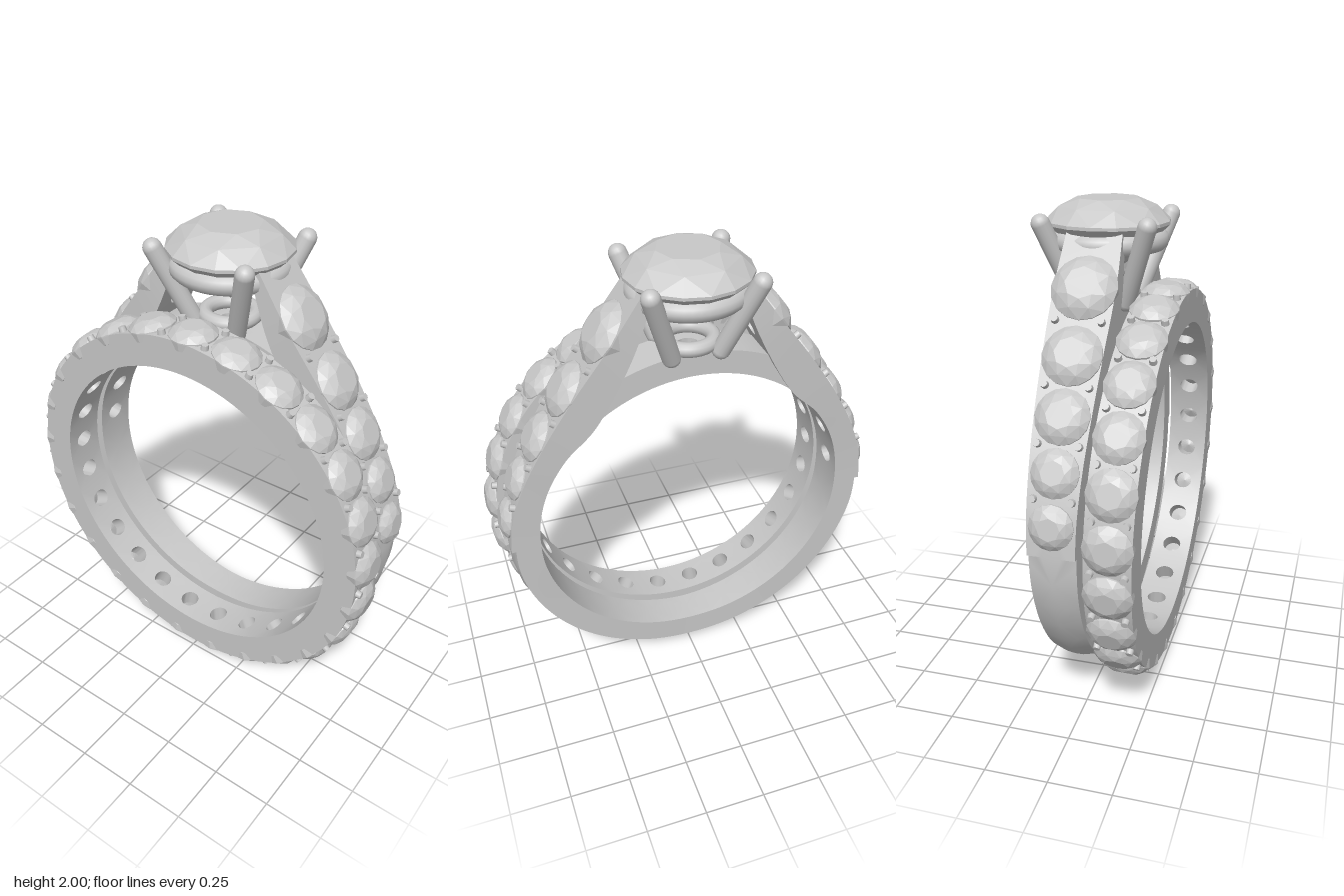
import * as THREE from 'three';
import { mergeGeometries, toCreasedNormals } from 'three/addons/utils/BufferGeometryUtils.js';
import { ConvexGeometry } from 'three/addons/geometries/ConvexGeometry.js';

const V = (x, y, z) => new THREE.Vector3(x, y, z);
const metal = new THREE.MeshStandardMaterial({ color: 0xc8c8c8 });
metal.name = 'pale silver';
const CY = 0.84, HEAD_Z = -0.042;

function add(parent, name, geo) {
  const m = new THREE.Mesh(geo, metal);
  m.name = name;
  parent.add(m);
  return m;
}

// One block of a band from u0 to u1 with an optional round hole through it.
// at(u, v, t): u runs along the band, v (-1..1) across it, t (0..1) from inside to outside.
function panel(at, u0, u1, hole, bulge = 0) {
  const N = 32, pos = [], idx = [];
  const half = at(u0, 0, 0.5).distanceTo(at(u1, 0, 0.5)) / 2;
  const uc = (u0 + u1) / 2, hw = at(uc, 1, 0.5).distanceTo(at(uc, -1, 0.5)) / 2;
  const put = (a, b, t) => pos.push(...at(uc + a * (u1 - u0) / 2, b, t ? 1 - bulge * b * b : 0).toArray());
  for (let i = 0; i < N; i++) {
    const a = (i / N) * Math.PI * 2, c = Math.cos(a), s = Math.sin(a);
    const k = 1 / Math.max(Math.abs(c), Math.abs(s));
    const hx = c * hole / half, hy = s * hole / hw;
    put(hx, hy, 0); put(c * k, s * k, 0); put(c * k, s * k, 1); put(hx, hy, 1);
    for (let j = 0; j < 4; j++) {
      const p = i * 4 + j, q = ((i + 1) % N) * 4 + j;
      const p1 = i * 4 + (j + 1) % 4, q1 = ((i + 1) % N) * 4 + (j + 1) % 4;
      idx.push(p, q, q1, p, q1, p1);
    }
  }
  const g = new THREE.BufferGeometry();
  g.setAttribute('position', new THREE.Float32BufferAttribute(pos, 3));
  g.setIndex(idx);
  return g;
}
const band = panels => toCreasedNormals(mergeGeometries(panels), 0.6);

// Faceted round stone, girdle at y = 0, crown upward
function stoneGeometry(R, belly, culet) {
  const pts = [V(0, culet * R, 0)];
  const ring = (n, r, y, off) => {
    for (let i = 0; i < n; i++) {
      const a = ((i + off) / n) * Math.PI * 2;
      pts.push(V(Math.cos(a) * r * R, y * R, Math.sin(a) * r * R));
    }
  };
  ring(8, 0.5, 0.36, 0);
  ring(8, 0.78, 0.235, 0.5);
  ring(16, 1, 0.02, 0);
  ring(16, 1, -0.03, 0);
  ring(16, belly[0], belly[1], 0);
  return new ConvexGeometry(pts);
}

// Outward direction of the band surface
function outward(at, u, e) {
  const d = at(u + e, 0, 1).sub(at(u - e, 0, 1));
  return V(d.y, -d.x, 0).normalize();
}
function setOn(mesh, at, u, v, e, lift = 0) {
  const n = outward(at, u, e);
  mesh.quaternion.setFromUnitVectors(V(0, 1, 0), n);
  mesh.position.copy(at(u, v, 1)).addScaledVector(n, lift);
}

export function createModel() {
  const root = new THREE.Group();
  root.name = 'ringSet';

  // Front band, set with stones all the way round, leaning slightly forward
  const front = new THREE.Group();
  front.name = 'eternityBand';
  front.position.set(0, CY, 0.177);
  front.rotation.x = 0.024;
  root.add(front);
  const COUNT = 25, step = Math.PI * 2 / COUNT;
  const round = (u, v, t) => {
    const r = 0.665 + 0.137 * t;
    return V(r * Math.cos(u), r * Math.sin(u), v * 0.09);
  };
  const smallStone = stoneGeometry(0.097, [0.96, -0.38], -0.8);
  const bead = new THREE.CylinderGeometry(0.014, 0.018, 0.04, 8);
  const blocks = [];
  for (let i = 0; i < COUNT; i++) {
    const u = Math.PI / 2 + i * step;
    blocks.push(panel(round, u - step / 2, u + step / 2, 0.042));
    setOn(add(front, 'bandStone', smallStone), round, u, 0, 0.01);
    for (const v of [-0.72, 0.72]) setOn(add(front, 'bandProng', bead), round, u + step / 2, v, 0.01);
  }
  add(front, 'bandBody', band(blocks));

  // Rear ring: stations from the bottom up to the shoulder tip
  // [outer x, outer y, inner x, inner y, half width, stone radius]
  const stations = [];
  for (let i = 0; i < 6; i++) {
    const a = THREE.MathUtils.degToRad(-90 + 16 * i), c = Math.cos(a), s = Math.sin(a);
    stations.push([0.793 * c, CY + 0.793 * s, 0.667 * c, CY + 0.667 * s, 0.073 + 0.0035 * i, 0]);
  }
  stations.push(
    [0.775, 0.94, 0.66, 0.925, 0.094, 0.086],
    [0.715, 1.125, 0.618, 1.09, 0.1, 0.092],
    [0.62, 1.305, 0.535, 1.235, 0.108, 0.105],
    [0.495, 1.495, 0.41, 1.364, 0.115, 0.116],
    [0.335, 1.71, 0.255, 1.64, 0.12, 0.129],
    [0.205, 1.89, 0.17, 1.86, 0.11, 0]);
  const last = stations.length - 1;
  const curve = (a, b) => new THREE.CatmullRomCurve3([
    ...stations.slice(1, 3).reverse().map(s => V(-s[a], s[b], s[4])),
    ...stations.map(s => V(s[a], s[b], s[4]))]);
  const outer = curve(0, 1), inner = curve(2, 3);
  const shank = (u, v, t) => {
    const k = (Math.min(Math.abs(u), last) + 2) / (last + 2);
    const p = inner.getPoint(k).lerp(outer.getPoint(k), t);
    return V(u < 0 ? -p.x : p.x, p.y, HEAD_Z + 0.004 + v * p.z);
  };
  const rear = new THREE.Group();
  rear.name = 'solitaireRing';
  root.add(rear);
  const plain = [];
  for (let k = -last; k <= last; k++) {
    const R = stations[Math.abs(k)][5];
    plain.push(panel(shank, Math.max(k - 0.5, -last), Math.min(k + 0.5, last),
      R ? 0.042 : 0, Math.abs(k) < 6 ? 0.15 : 0));
    if (!R) continue;
    setOn(add(rear, 'shoulderStone', stoneGeometry(R, [0.93, -0.36], -0.75)), shank, k, 0, 0.05, 0.003);
    if (Math.abs(k) < 10) {
      for (const v of [-0.75, 0.75]) {
        setOn(add(rear, 'shoulderProng', bead), shank, k + Math.sign(k) * 0.5, v, 0.05);
      }
    }
  }
  add(rear, 'shank', band(plain));

  // Bridge closing the finger hole beneath the head
  const arch = (u, v, t) => {
    const r = 0.665 + 0.1 * t;
    return V(r * Math.cos(u), CY + r * Math.sin(u), HEAD_Z + v * 0.085);
  };
  const span = [];
  for (let i = -3; i <= 3; i++) {
    const u = Math.PI / 2 + i * 0.19;
    span.push(panel(arch, u - 0.095, u + 0.095, i === 0 ? 0.04 : 0));
  }
  add(rear, 'bridge', band(span));

  // Head: centre stone, gallery rings and four prongs
  const head = new THREE.Group();
  head.name = 'head';
  head.position.z = HEAD_Z;
  rear.add(head);
  const big = add(head, 'centreStone', stoneGeometry(0.25, [0.55, -0.45], -0.87));
  big.position.y = 1.91;
  for (const [R, tube, y] of [[0.2, 0.042, 1.84], [0.1, 0.03, 1.63]]) {
    const t = add(head, 'galleryRing', new THREE.TorusGeometry(R, tube, 12, 48));
    t.rotation.x = Math.PI / 2;
    t.position.y = y;
  }
  for (const sx of [-1, 1]) for (const sz of [-1, 1]) {
    const a = V(sx * 0.1, 1.61, sz * 0.1), b = V(sx * 0.208, 1.918, sz * 0.208);
    const prong = add(head, 'prong', new THREE.CapsuleGeometry(0.037, a.distanceTo(b), 6, 16));
    prong.position.copy(a).add(b).multiplyScalar(0.5);
    prong.quaternion.setFromUnitVectors(V(0, 1, 0), b.sub(a).normalize());
  }
  return root;
}
